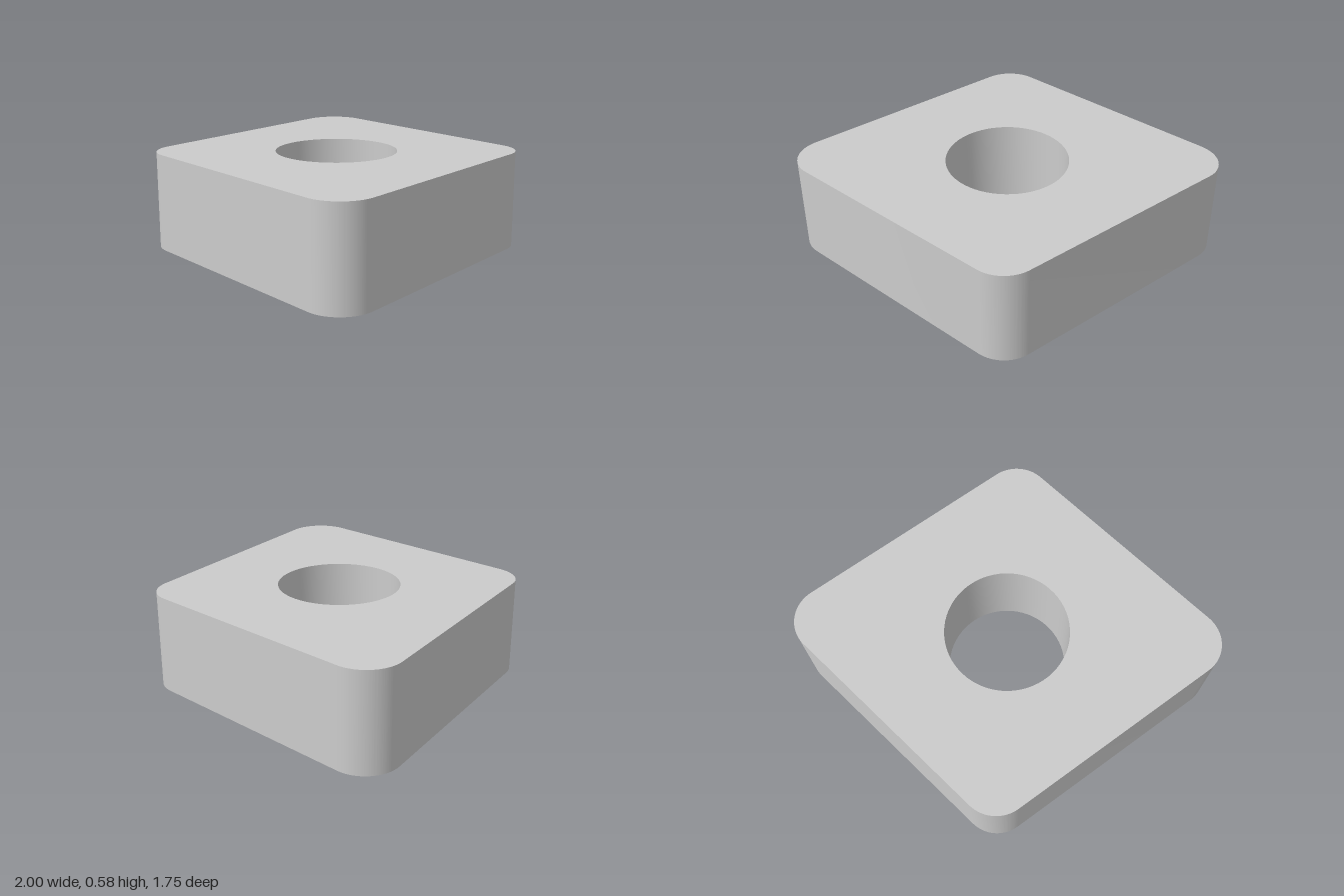
import * as THREE from 'three';
import { toCreasedNormals } from 'three/addons/utils/BufferGeometryUtils.js';

const HALF = 0.873;      // distance from the centre to each side
const HEIGHT = 0.585;
const CORNER = 0.21;     // corner radius
const HOLE = 0.365;
const LEAN = THREE.MathUtils.degToRad(10);

export function createModel() {
  const group = new THREE.Group();
  group.name = 'rhombicInsert';

  // Rhombus outline made of four corner arcs joined by straight sides
  const inner = HALF - CORNER;
  const acuteX = inner * (1 + Math.sin(LEAN)) / Math.cos(LEAN);
  const obtuseX = inner * (1 - Math.sin(LEAN)) / Math.cos(LEAN);
  const outline = new THREE.Shape();
  for (const [sign, turn] of [[1, 0], [-1, Math.PI]]) {
    outline.absarc(sign * acuteX, sign * inner, CORNER, turn - LEAN, turn + Math.PI / 2);
    outline.absarc(-sign * obtuseX, sign * inner, CORNER, turn + Math.PI / 2, turn + Math.PI - LEAN);
  }
  outline.closePath();

  // Round through hole
  const hole = new THREE.Path();
  hole.absarc(0, 0, HOLE, 0, Math.PI * 2, true);
  outline.holes.push(hole);

  // Plate standing on the ground, smooth round the corners and the bore
  const geometry = new THREE.ExtrudeGeometry(outline, { depth: HEIGHT, bevelEnabled: false, curveSegments: 32 });
  geometry.rotateX(-Math.PI / 2);
  const plate = new THREE.Mesh(
    toCreasedNormals(geometry, 0.6),
    new THREE.MeshStandardMaterial({ color: 0xcccccc })
  );
  plate.name = 'plateWithHole';
  group.add(plate);
  return group;
}
